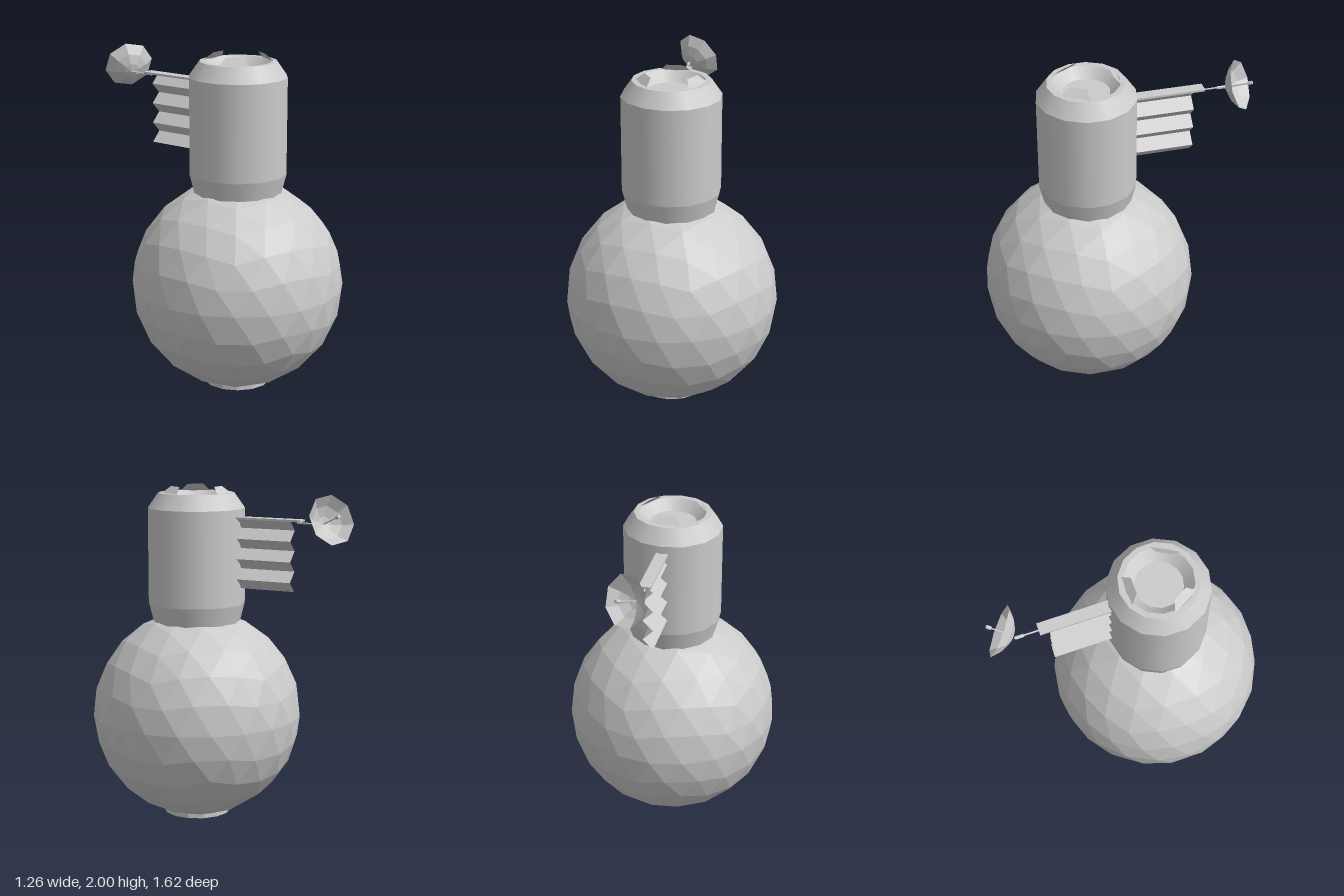
import * as THREE from 'three';

const CZ = 0.18; // shared vertical axis of globe and tower
const SIDES = 14;

const smooth = new THREE.MeshStandardMaterial({ color: 0xcccccc });
const flat = new THREE.MeshStandardMaterial({ color: 0xcccccc, flatShading: true });
const sheet = new THREE.MeshStandardMaterial({ color: 0xcccccc, flatShading: true, side: THREE.DoubleSide });

function add(parent, name, geometry, material, x = 0, y = 0, z = 0) {
  const mesh = new THREE.Mesh(geometry, material);
  mesh.name = name;
  mesh.position.set(x, y, z);
  parent.add(mesh);
  return mesh;
}

// Icosphere with a vertex at each pole, subdivided twice, flattened underneath
function globeGeometry(radius, floor) {
  const once = new THREE.IcosahedronGeometry(1, 1);
  const p = Array.from(once.attributes.position.array);
  const geo = new THREE.PolyhedronGeometry(p, p.slice(0, p.length / 3).map((_, i) => i), radius, 1);
  geo.rotateX(-Math.atan2((1 + Math.sqrt(5)) / 2, 1));
  geo.rotateY(Math.PI / 2);
  const pos = geo.attributes.position;
  for (let i = 0; i < pos.count; i++) pos.setY(i, Math.max(pos.getY(i), floor));
  return geo;
}

// Strip of quads between two equally long rows of points
function stripGeometry(rowA, rowB) {
  const geo = new THREE.BufferGeometry();
  const index = [];
  const n = rowA.length;
  for (let i = 0; i < n - 1; i++) index.push(i, i + 1, n + i, i + 1, n + i + 1, n + i);
  geo.setAttribute('position', new THREE.Float32BufferAttribute([...rowA, ...rowB].flat(), 3));
  geo.setIndex(index);
  geo.computeVertexNormals();
  return geo;
}

function createTower() {
  const tower = new THREE.Group();
  tower.name = 'tower';
  tower.position.z = CZ;
  // Radius and height of each ring, from the neck up, over the rim and into the basin
  const rings = [[0.255, 1.14], [0.262, 1.19], [0.29, 1.3], [0.29, 1.87], [0.227, 1.96],
    [0.195, 1.96], [0.137, 1.9], [0, 1.9]];
  const names = ['neckFoot', 'neck', 'towerWall', 'shoulder', 'rim', 'basinWall', 'basinFloor'];
  names.forEach((name, i) => {
    const pts = [rings[i], rings[i + 1]].map(([r, y]) => new THREE.Vector2(r, y));
    add(tower, name, new THREE.LatheGeometry(pts, SIDES), smooth);
  });
  // Three inward-leaning tabs on the rim
  for (let i = 0; i < 3; i++) {
    const tab = add(tower, 'rimTab', stripGeometry(
      [[-0.09, 1.955, 0.19], [0.09, 1.955, 0.19]],
      [[-0.048, 2, 0.145], [0.048, 2, 0.145]]), sheet);
    tab.rotation.y = Math.PI + (i * Math.PI * 2) / 3;
  }
  return tower;
}

function createFin() {
  const fin = new THREE.Group();
  fin.name = 'rearFin';
  // Corrugated panel zigzagging down in seven folds
  const row = (z) => Array.from({ length: 8 }, (_, i) => [i % 2 ? -0.03 : 0.03, 1.82 - i * 0.06, z]);
  add(fin, 'corrugatedPanel', stripGeometry(row(-0.09), row(-0.45)), sheet);
  // Cap plate running past the panel
  add(fin, 'capPlate', new THREE.BoxGeometry(0.07, 0.012, 0.43), flat, 0, 1.821, -0.297);
  return fin;
}

function createAntenna() {
  const antenna = new THREE.Group();
  antenna.name = 'antenna';
  // Arm from the cap plate to the dish
  const arm = add(antenna, 'arm', new THREE.CylinderGeometry(0.005, 0.005, 0.17, 6), flat, 0, 1.807, -0.565);
  arm.rotation.x = Math.PI / 2;
  const joint = add(antenna, 'armJoint', new THREE.CylinderGeometry(0.01, 0.01, 0.05, 6), flat, 0, 1.806, -0.62);
  joint.rotation.x = Math.PI / 2;

  // Octagonal dish aimed backward, up and to the left
  const dish = new THREE.Group();
  dish.name = 'dish';
  dish.position.set(0.012, 1.81, -0.648);
  dish.quaternion.setFromUnitVectors(new THREE.Vector3(0, 1, 0), new THREE.Vector3(0.5, 0.35, -0.79).normalize());
  const profile = [[0, 0], [0.045, 0.009], [0.1, 0.037], [0.15, 0.085]].map(([r, y]) => new THREE.Vector2(r, y));
  add(dish, 'dishBowl', new THREE.LatheGeometry(profile, 8), sheet);
  add(dish, 'feedRod', new THREE.CylinderGeometry(0.004, 0.004, 0.15, 6), flat, 0, 0.075, 0);
  add(dish, 'feedTip', new THREE.CylinderGeometry(0.011, 0.011, 0.03, 6), flat, 0, 0.145, 0);
  antenna.add(dish);
  return antenna;
}

export function createModel() {
  const model = new THREE.Group();
  model.name = 'globeTower';
  add(model, 'globe', globeGeometry(0.632, -0.615), flat, 0, 0.62, CZ);
  add(model, 'basePlate', new THREE.CylinderGeometry(0.203, 0.203, 0.035, SIDES), flat, 0, 0.0175, CZ);
  model.add(createTower(), createFin(), createAntenna());
  return model;
}
